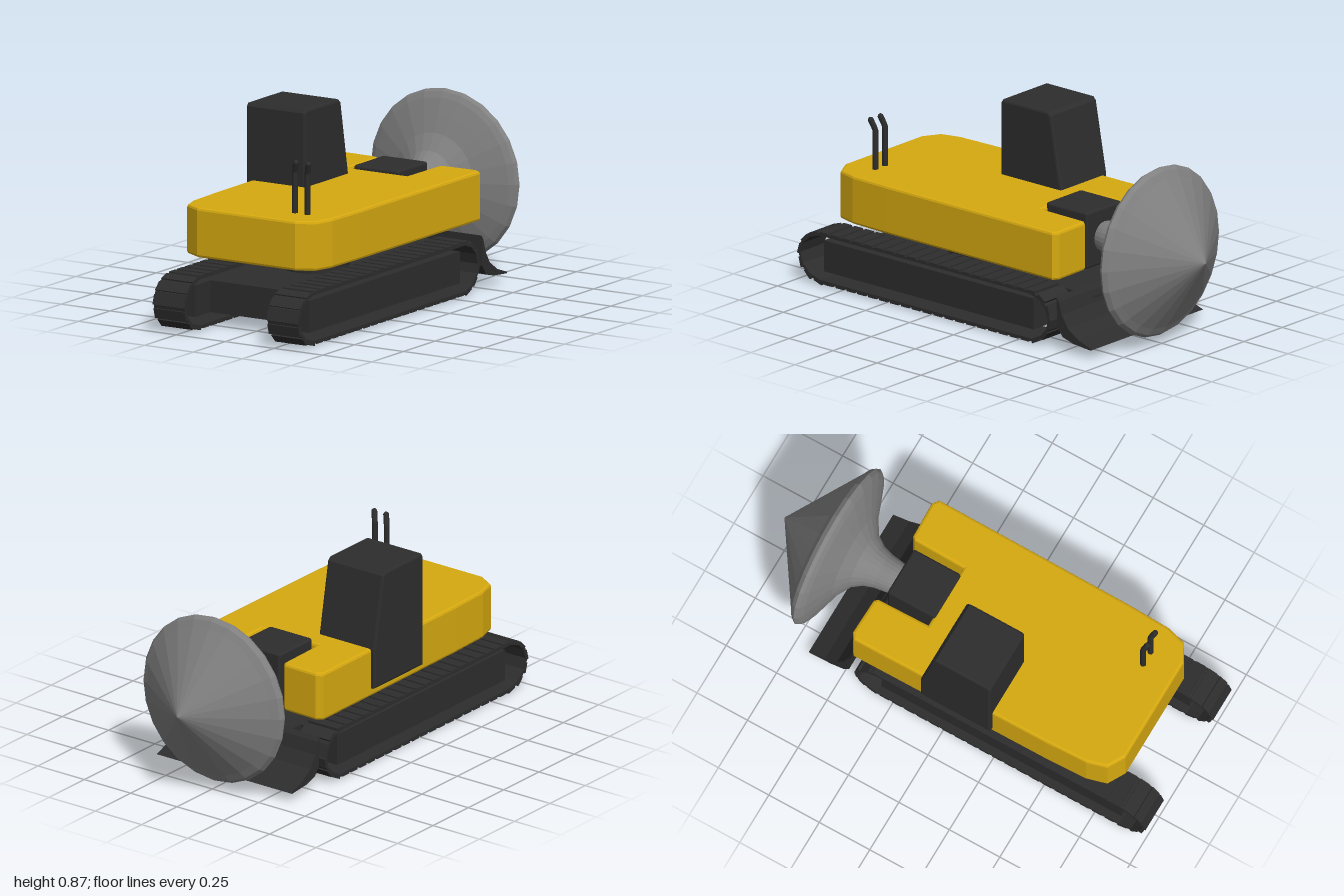
import * as THREE from 'three';
import { RoundedBoxGeometry } from 'three/addons/geometries/RoundedBoxGeometry.js';

const mat = (color) => new THREE.MeshStandardMaterial({ color });

export function createModel() {
  const model = new THREE.Group();
  const yellow = mat(0xd6a910);
  const dark = mat(0x2d2d2d);
  const steel = mat(0x808080);
  steel.flatShading = true;

  const add = (name, geometry, material, parent = model) => {
    const mesh = new THREE.Mesh(geometry, material);
    mesh.name = name;
    parent.add(mesh);
    return mesh;
  };
  // Box given by its limits
  const box = (name, x0, x1, y0, y1, z0, z1, material = dark, parent = model) => {
    const m = add(name, new THREE.BoxGeometry(x1 - x0, y1 - y0, z1 - z0), material, parent);
    m.position.set((x0 + x1) / 2, (y0 + y1) / 2, (z0 + z1) / 2);
    return m;
  };
  // Side profiles are given as [z, y] and extruded along x
  const toShape = (points) => new THREE.Shape(points.map(([a, b]) => new THREE.Vector2(-a, b)));
  const extrudeX = (shape, x0, x1, bevel = 0) => {
    const g = new THREE.ExtrudeGeometry(shape, {
      depth: x1 - x0 - 2 * bevel, bevelEnabled: bevel > 0, bevelSize: bevel,
      bevelThickness: bevel, bevelOffset: -bevel, bevelSegments: 2,
    });
    return g.rotateY(Math.PI / 2).translate(x0 + bevel, 0, 0);
  };

  // Upper body: plan outline [x, z] with a slot at the rear, extruded upwards
  const half = [[0.15, -0.2], [0.155, -0.445], [0.17, -0.46], [0.34, -0.465], [0.368, -0.445],
    [0.362, 0.5], [0.355, 0.7], [0.33, 0.79], [0.25, 0.835]];
  const plan = [...half, ...half.map(([x, z]) => [-x, z]).reverse()];
  const bodyShape = new THREE.Shape(plan.map(([x, z]) => new THREE.Vector2(x, -z)));
  const body = new THREE.ExtrudeGeometry(bodyShape, {
    depth: 0.195, bevelSize: 0.012, bevelThickness: 0.012, bevelOffset: -0.012, bevelSegments: 2,
  });
  add('upperBody', body.rotateX(-Math.PI / 2).translate(0, 0.315, 0), yellow);

  // Cab with a sloping rear
  const cab = toShape([[0.24, 0.34], [0.24, 0.845], [0.23, 0.86], [-0.03, 0.86],
    [-0.045, 0.845], [-0.105, 0.52], [-0.105, 0.34]]);
  add('cab', extrudeX(cab, -0.385, -0.083, 0.01), dark);

  // Drill mount in the slot
  const mount = add('drillMount', new RoundedBoxGeometry(0.23, 0.255, 0.235, 2, 0.012), dark);
  mount.position.set(0, 0.412, -0.307);

  // Drill head: flared neck, broad rim, pointed tip
  const profile = [[0, 0.4], [0.06, 0.4], [0.075, 0.46], [0.082, 0.51], [0.098, 0.56], [0.13, 0.605],
    [0.2, 0.65], [0.28, 0.68], [0.345, 0.705], [0.37, 0.72], [0.38, 0.737], [0.366, 0.757], [0.335, 0.775], [0, 1]];
  const drill = new THREE.LatheGeometry(profile.map(([r, h]) => new THREE.Vector2(r, h)), 24);
  add('drillHead', drill.rotateX(-Math.PI / 2).translate(0, 0.41, 0), steel);

  // Exhaust pipes with bent tips
  for (const x of [0.155, 0.219]) {
    const path = new THREE.CurvePath();
    const p = [[x, 0.5, 0.688], [x, 0.7, 0.688], [x + 0.014, 0.745, 0.702]].map((v) => new THREE.Vector3(...v));
    path.add(new THREE.LineCurve3(p[0], p[1]));
    path.add(new THREE.LineCurve3(p[1], p[2]));
    add('exhaustPipe', new THREE.TubeGeometry(path, 14, 0.013, 10), dark);
    const cap = add('exhaustTip', new THREE.SphereGeometry(0.013, 10, 6), dark);
    cap.position.copy(p[2]);
  }

  // Swivel and undercarriage
  const swivel = add('swivel', new THREE.CylinderGeometry(0.143, 0.143, 0.14, 32), dark);
  swivel.position.set(0, 0.25, 0.278);
  box('chassis', -0.24, 0.24, 0.05, 0.19, -0.32, 0.75);
  box('bladeArm', -0.15, 0.15, 0.05, 0.19, -0.49, -0.3);

  // Curved blade at the rear
  const blade = toShape([[-0.465, 0.235], [-0.48, 0.215], [-0.495, 0.16], [-0.53, 0.105], [-0.59, 0.065],
    [-0.67, 0.038], [-0.66, 0.033], [-0.56, 0.042], [-0.5, 0.06], [-0.47, 0.1]]);
  add('blade', extrudeX(blade, -0.362, 0.362), dark);

  // Track loops
  const ring = [[0.88, 0.229], [0.94, 0.209], [0.98, 0.168], [0.994, 0.12], [0.98, 0.068], [0.94, 0.026],
    [0.88, 0.006], [-0.34, 0.006], [-0.39, 0.03], [-0.425, 0.075], [-0.434, 0.12], [-0.42, 0.17],
    [-0.385, 0.209], [-0.33, 0.229]];
  const cz = 0.28, cy = 0.1175;
  const inner = ring.map(([z, y]) => [cz + (z - cz) * 0.985, cy + (y - cy) * 0.9]);
  const beltShape = toShape(ring);
  beltShape.holes.push(new THREE.Path(toShape(inner).getPoints()));
  const loop = new THREE.CurvePath();
  ring.forEach(([z, y], i) => {
    const [z2, y2] = ring[(i + 1) % ring.length];
    loop.add(new THREE.LineCurve(new THREE.Vector2(z, y), new THREE.Vector2(z2, y2)));
  });
  const padCount = 50;
  const padGeometry = new THREE.BoxGeometry(0.159, 0.012, 0.046);
  for (const side of [-1, 1]) {
    const track = new THREE.Group();
    track.name = side > 0 ? 'leftTrack' : 'rightTrack';
    model.add(track);
    const x0 = side > 0 ? 0.212 : -0.37;
    add('belt', extrudeX(beltShape, x0, x0 + 0.158), dark, track);
    box('trackFrame', x0 + 0.025, x0 + 0.133, 0.05, 0.19, -0.32, 0.87, dark, track);
    for (let i = 0; i < padCount; i++) {
      const u = (i + 0.5) / padCount;
      const p = loop.getPointAt(u), t = loop.getTangentAt(u);
      const pad = add('trackPad', padGeometry, dark, track);
      pad.position.set(x0 + 0.079, p.y, p.x);
      pad.rotation.x = -Math.atan2(t.y, t.x);
    }
  }
  return model;
}
